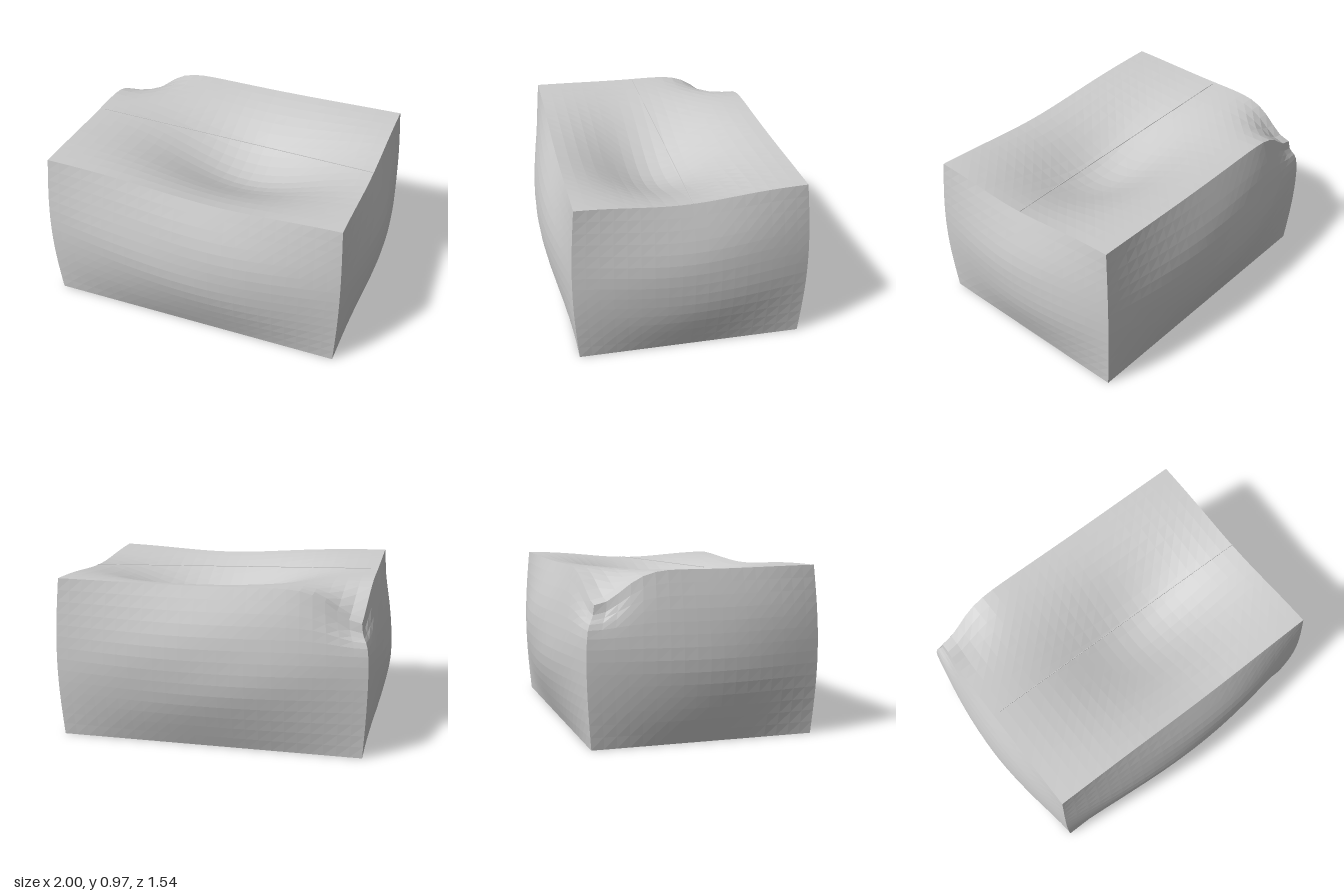
import * as THREE from 'three';

const W = 0.9, D = 0.65; // half width and half depth of the base
const gauss = (a) => Math.exp(-a * a / 2);
const arch = (a) => Math.cos(a * Math.PI / 2);

// Height of the sagging lid over the base
function lidHeight(x, z) {
  const u = (x / W + 1) / 2, v = (z / D + 1) / 2;
  const back = THREE.MathUtils.lerp(0.975, 0.967, u);
  const front = THREE.MathUtils.lerp(0.975, 0.952, u);
  const base = THREE.MathUtils.lerp(back, front, v);
  const bowl = 0.24 * gauss((x - 0.14) / 0.41) * gauss((z - 0.05) / 0.28);
  const frontSag = 0.02 * gauss((x - 0.2) / 0.35) * Math.max(0, z / D);
  return base - bowl - frontSag;
}

// Box with swollen walls, a hollow in the lid and one crushed corner
function swollenBox() {
  const geo = new THREE.BoxGeometry(2 * W, 1, 2 * D, 24, 14, 18);
  const pos = geo.attributes.position;
  for (let i = 0; i < pos.count; i++) {
    const x = pos.getX(i), t = pos.getY(i) + 0.5, z = pos.getZ(i);
    const swell = Math.sin(Math.PI * t);
    // slight unevenness of the walls
    const wave = 1 + 0.05 * Math.sin(5 * x + 9 * t) * Math.cos(4 * z + 5 * t);
    let px = x + (x / W) * swell * (0.02 + 0.08 * arch(z / D) * wave);
    let pz = z + (z / D) * swell * (0.027 + 0.095 * arch(x / W) * wave);
    let py = t * lidHeight(x, z);
    // crushed back corner
    const d = Math.hypot(x + W, (t - 1) * 0.97, z + D);
    const crush = gauss(d / 0.16);
    px += 0.03 * crush;
    pz += 0.03 * crush;
    py -= 0.19 * crush * Math.min(1, t * 2);
    pos.setXYZ(i, px, py, pz);
  }
  geo.computeVertexNormals();
  return geo;
}

export function createModel() {
  const group = new THREE.Group();
  const card = new THREE.MeshStandardMaterial({ color: 0xcccccc });
  card.name = 'light grey card';
  card.flatShading = true;
  card.side = THREE.DoubleSide;

  const box = new THREE.Mesh(swollenBox(), card);
  box.name = 'dentedBox';
  group.add(box);

  // Hairline seam stretched over the hollow between the lid flaps
  const a = new THREE.Vector2(-0.86, 0.973), b = new THREE.Vector2(0.9, 0.922);
  const seam = new THREE.Mesh(new THREE.BoxGeometry(a.distanceTo(b), 0.003, 0.003), card);
  seam.name = 'lidSeam';
  seam.position.set((a.x + b.x) / 2, (a.y + b.y) / 2, 0);
  seam.rotation.z = Math.atan2(b.y - a.y, b.x - a.x);
  group.add(seam);

  return group;
}
